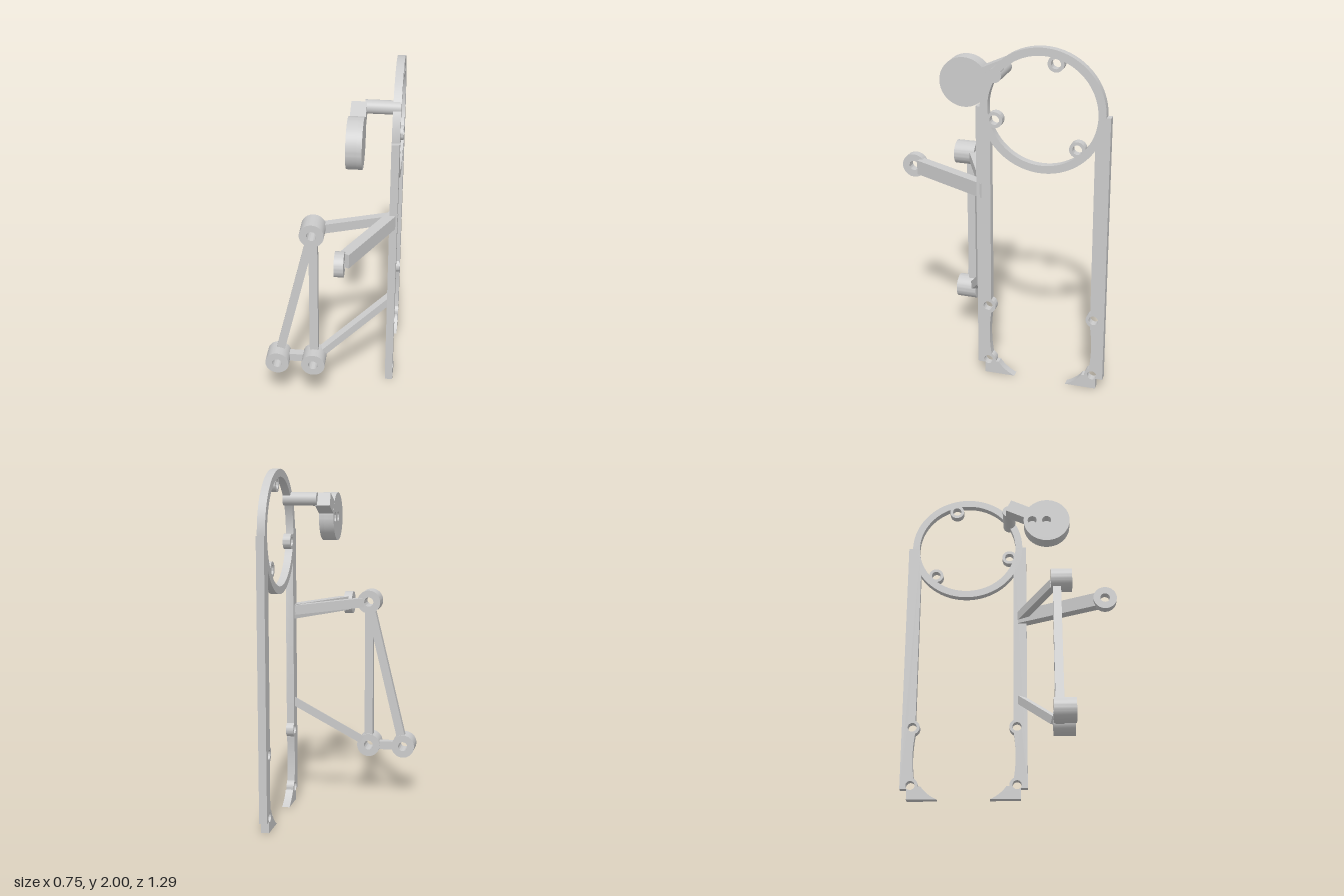
import * as THREE from 'three';
import { toCreasedNormals } from 'three/addons/utils/BufferGeometryUtils.js';

const material = new THREE.MeshStandardMaterial({ color: 0xcccccc });

function add(parent, name, geometry, x = 0, y = 0, z = 0) {
  const mesh = new THREE.Mesh(geometry, material);
  mesh.name = name;
  mesh.position.set(x, y, z);
  parent.add(mesh);
  return mesh;
}

function circlePath(x, y, r) {
  return new THREE.Path().absarc(x, y, r, 0, Math.PI * 2, false);
}

// Extrusion centred on its own thickness; facing 'x' maps shape x to world z
function plate(shape, depth, axis = 'z', segments = 24) {
  const g = new THREE.ExtrudeGeometry(shape, { depth, bevelEnabled: false, curveSegments: segments });
  g.translate(0, 0, -depth / 2);
  if (axis === 'x') g.rotateY(-Math.PI / 2);
  return toCreasedNormals(g, 0.6);
}

// Round disc with circular holes given as [x, y, r]
function disc(radius, holes, depth, axis, segments = 32) {
  const s = new THREE.Shape().absarc(0, 0, radius, 0, Math.PI * 2, false);
  for (const h of holes) s.holes.push(circlePath(...h));
  return plate(s, depth, axis, segments);
}

// Square bar from a to b; height lies along the up direction
function bar(parent, name, a, b, width, height, up = [0, 1, 0]) {
  const p = new THREE.Vector3(...a), q = new THREE.Vector3(...b);
  const mesh = add(parent, name, new THREE.BoxGeometry(width, height, p.distanceTo(q)));
  mesh.position.copy(p).lerp(q, 0.5);
  mesh.up.set(...up);
  mesh.lookAt(q);
  return mesh;
}

// Leg outline with inner screw bosses, waist and curved foot
function legShape() {
  const s = new THREE.Shape();
  const u = 0.312, r = 0.045, a = 2.007;
  s.moveTo(0.374, 1.648);
  s.lineTo(0.374, 0.065);
  s.lineTo(0.333, 0.065);
  s.lineTo(0.333, 0);
  s.lineTo(0.154, 0);
  s.quadraticCurveTo(0.215, 0.027, 0.25, 0.078);
  s.absarc(u, 0.085, r, 3.3, a, true);
  s.quadraticCurveTo(0.314, 0.26, 0.293, 0.4);
  s.absarc(u, 0.442, r, Math.PI * 2 - a, a, true);
  s.lineTo(0.293, 1.56);
  s.absarc(0, 1.648, 0.306, -0.292, 0, false);
  s.closePath();
  s.holes.push(circlePath(u, 0.085, 0.027), circlePath(u, 0.442, 0.027));
  return s;
}

export function createModel() {
  const model = new THREE.Group();
  model.name = 'linkageFrame';

  // Side frame: ring, two mirrored legs, three ring bosses
  const frame = new THREE.Group();
  frame.name = 'sideFrame';
  frame.position.set(0.345, 0, -0.272);
  model.add(frame);
  const t = 0.045, ringY = 1.65;
  add(frame, 'ring', disc(0.35, [[0, 0, 0.306]], t, 'x', 64), 0, ringY, 0);
  const leg = plate(legShape(), t, 'x');
  add(frame, 'frontLeg', leg);
  add(frame, 'backLeg', leg).rotation.y = Math.PI;
  for (let i = 0; i < 3; i++) {
    const a = THREE.MathUtils.degToRad(-15 + i * 120);
    add(frame, 'ringBoss', disc(0.045, [[0, 0, 0.027]], t, 'x'),
      0, ringY + 0.277 * Math.sin(a), 0.277 * Math.cos(a));
  }

  // Upper crank: axle rod, arm and weight disc with two blind holes
  const crank = new THREE.Group();
  crank.name = 'crank';
  model.add(crank);
  const axle = new THREE.CylinderGeometry(0.039, 0.039, 0.2, 32).rotateZ(Math.PI / 2);
  add(crank, 'axleRod', axle, 0.268, 1.826, -0.005);
  add(crank, 'weightDiscFace', disc(0.143, [[0, 0, 0.028], [-0.09, 0, 0.028]], 0.06, 'x', 48),
    0.122, 1.717, 0.233);
  add(crank, 'weightDiscBack', disc(0.143, [], 0.028, 'x', 48), 0.166, 1.717, 0.233);
  bar(crank, 'crankArm', [0.136, 1.768, 0.122], [0.136, 1.826, -0.005], 0.087, 0.08);

  // Triangle linkage: three bosses joined by bars
  const linkage = new THREE.Group();
  linkage.name = 'triangleLinkage';
  model.add(linkage);
  const top = [-0.093, 1.2], inner = [-0.093, 0.31], outer = [-0.307, 0.31];
  for (const [x, y] of [top, inner, outer]) {
    add(linkage, 'pivotBoss', disc(0.07, [[0, 0, 0.028]], 0.124, 'z'), x, y, 0.311);
  }
  for (const [a, b] of [[top, inner], [top, outer], [inner, outer]]) {
    const p = new THREE.Vector2(...a), q = new THREE.Vector2(...b);
    const trim = q.clone().sub(p).setLength(0.05);
    p.add(trim);
    q.sub(trim);
    bar(linkage, 'linkBar', [p.x, p.y, 0.284], [q.x, q.y, 0.284], 0.05, 0.048, [0, 0, 1]);
  }

  // Struts from the linkage to the front leg
  bar(model, 'upperStrut', [-0.052, 1.196, 0.264], [0.345, 1.165, 0.06], 0.045, 0.056);
  bar(model, 'lowerStrut', [-0.044, 0.345, 0.26], [0.345, 0.62, 0.06], 0.045, 0.047);

  // Forward arm with end eye
  bar(model, 'forwardArm', [0.105, 1.158, 0.533], [0.345, 1.158, 0.061], 0.06, 0.085);
  add(model, 'forwardEye', disc(0.07, [[0, 0, 0.028]], 0.052, 'x'), 0.084, 1.158, 0.575);

  return model;
}
